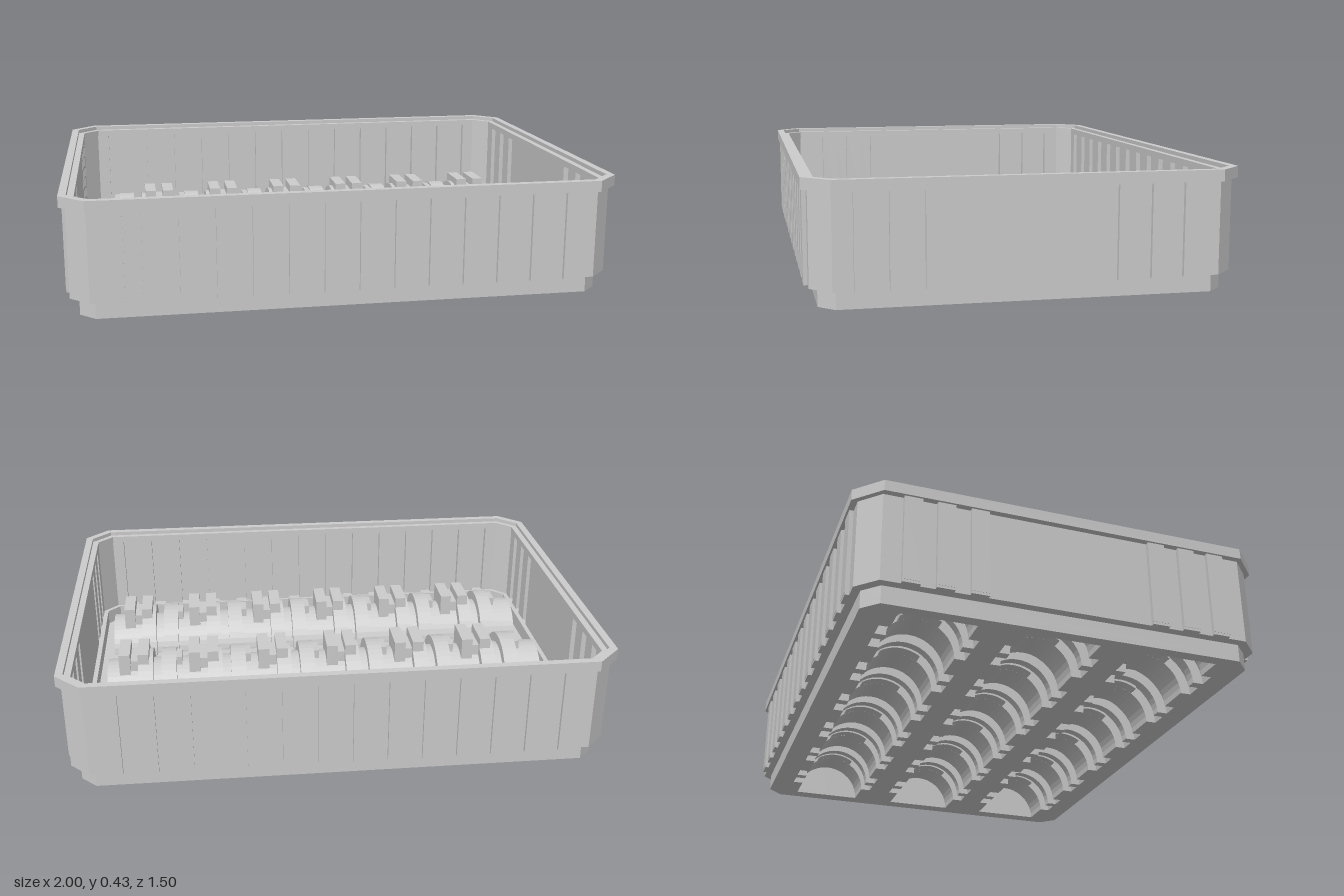
import * as THREE from 'three';

const material = new THREE.MeshStandardMaterial({ color: 0xcccccc, flatShading: true, side: THREE.DoubleSide });

// rib positions along the long and short walls
const RIB = 0.063;
const longRibs = Array.from({ length: 14 }, (_, k) => -0.819 + 0.126 * k);
const shortRibs = [-0.5575, -0.4425, -0.325, 0.325, 0.4425, 0.5575];

// rectangle with cut corners; ribs step outward by "bump"
function outline(hx, hz, cut, bump = 0, ribWidth = RIB) {
  const pts = [];
  const side = (half, dist, ribs, turn) => {
    const add = (t, d) => pts.push(new THREE.Vector2(t, -d).rotateAround(new THREE.Vector2(), turn));
    add(-half + cut, dist);
    if (bump) for (const c of ribs) {
      const a = c - ribWidth / 2, b = c + ribWidth / 2;
      add(a, dist); add(a, dist + bump); add(b, dist + bump); add(b, dist);
    }
    add(half - cut, dist);
  };
  side(hx, hz, longRibs, 0);
  side(hz, hx, shortRibs, Math.PI / 2);
  side(hx, hz, longRibs, Math.PI);
  side(hz, hx, shortRibs, -Math.PI / 2);
  return pts;
}

// plan shape raised from y0 to y1
function slab(name, outer, holes, y0, y1) {
  const shape = new THREE.Shape(outer);
  shape.holes = holes.map((h) => new THREE.Path(h));
  const geo = new THREE.ExtrudeGeometry(shape, { depth: y1 - y0, bevelEnabled: false });
  geo.rotateX(-Math.PI / 2).translate(0, y0, 0);
  const mesh = new THREE.Mesh(geo, material);
  mesh.name = name;
  return mesh;
}

// block along x that sits on the cylinder: flat top, curved underside
const R = 0.135, RING = 0.174;
function saddle(name, x0, x1, halfZ, top) {
  const a = Math.acos(halfZ / R);
  const s = new THREE.Shape();
  s.moveTo(halfZ, R * Math.sin(a));
  s.lineTo(halfZ, top);
  s.lineTo(-halfZ, top);
  s.lineTo(-halfZ, R * Math.sin(a));
  s.absarc(0, 0, R, Math.PI - a, a, true);
  const geo = new THREE.ExtrudeGeometry(s, { depth: x1 - x0, bevelEnabled: false, curveSegments: 6 });
  geo.rotateY(Math.PI / 2).translate(x0, 0, 0);
  const mesh = new THREE.Mesh(geo, material);
  mesh.name = name;
  return mesh;
}

export function createModel() {
  const model = new THREE.Group();
  model.name = 'tray';

  // stepped profile (x, radius) of one ringed half cylinder
  const profile = [[-0.9, R]];
  const units = Array.from({ length: 6 }, (_, k) => -0.8 + 0.281 * k);
  for (const u of units) for (const a of [u, u + 0.095]) {
    profile.push([a, R], [a, RING], [a + 0.06, RING], [a + 0.06, R]);
  }
  profile.push([0.885, R]);

  // floor with an opening under each row
  const rows = [-0.44, 0, 0.44];
  const openings = rows.map((z) => [
    ...profile.map(([x, r]) => new THREE.Vector2(x, z + r)),
    ...profile.slice().reverse().map(([x, r]) => new THREE.Vector2(x, z - r)),
  ]);
  model.add(slab('floor', outline(0.945, 0.7, 0.055), openings, 0, 0.015));

  // stepped foot, shelf, ribbed hollow wall and rim
  const inner = outline(0.932, 0.687, 0.052);
  model.add(slab('foot', outline(0.945, 0.7, 0.055), [inner], 0.015, 0.07));
  model.add(slab('shelf', outline(0.977, 0.728, 0.07, 0.014), [inner], 0.065, 0.075));
  model.add(slab('ribbedWall', outline(0.977, 0.728, 0.07, 0.015),
    [outline(0.95, 0.702, 0.06, 0.024, RIB - 0.016)], 0.075, 0.39));
  model.add(slab('innerLip', outline(0.985, 0.735, 0.08), [outline(0.948, 0.7, 0.06)], 0.39, 0.415));
  model.add(slab('rim', outline(1, 0.75, 0.09), [outline(0.972, 0.722, 0.075)], 0.39, 0.43));

  // half-cylinder shells, open below, closed at both ends
  const lathePts = [[-0.9, 0], ...profile, [0.885, 0]].map(([x, r]) => new THREE.Vector2(r, -x));
  const shellGeo = new THREE.LatheGeometry(lathePts, 20, 0, Math.PI).rotateZ(Math.PI / 2);
  const row = new THREE.Group();
  const shell = new THREE.Mesh(shellGeo, material);
  shell.name = 'ringedHalfCylinder';
  row.add(shell);

  // slotted blocks and small tabs beside the rings
  for (const u of units) {
    row.add(saddle('blockBar', u + 0.11, u + 0.155, 0.075, 0.2));
    row.add(saddle('blockBar', u + 0.185, u + 0.23, 0.075, 0.2));
    row.add(saddle('blockSlotFloor', u + 0.155, u + 0.185, 0.06, 0.165));
    row.add(saddle('tab', u - 0.022, u, 0.038, 0.165));
  }
  for (const z of rows) {
    const copy = row.clone();
    copy.name = 'cradleRow';
    copy.position.z = z;
    model.add(copy);
  }
  return model;
}
